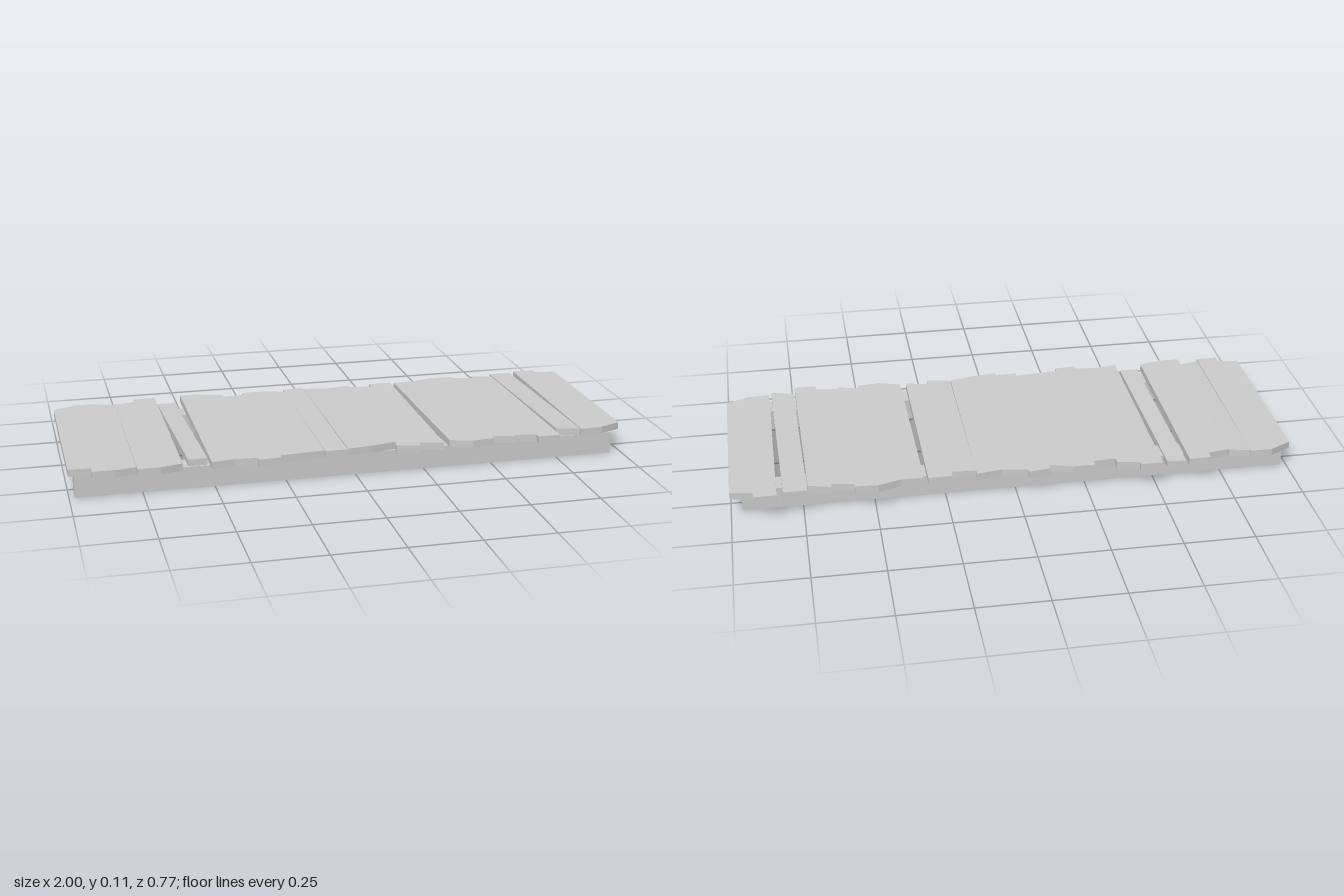
import * as THREE from 'three';

const THICK = 0.026;

// One broken board end: depths at equal spacing from left to right,
// where a pair of depths makes a square step.
function raggedEnd(left, right, depths, side) {
  return depths.flatMap((depth, i) => {
    const x = THREE.MathUtils.lerp(left, right, i / (depths.length - 1));
    return [depth].flat().map((d) => new THREE.Vector2(x, side * d));
  });
}

// A flat board between two ragged ends. lean shifts the front corners sideways,
// frontTop and backTop tilt the board.
function plankGeometry({ left, right, back, front, lean = 0, frontTop = 0.103, backTop = 0.103 }) {
  const outline = [
    ...raggedEnd(left, right, back, 1),
    ...raggedEnd(left + lean, right + lean, front, -1).reverse(),
  ];
  const geo = new THREE.ExtrudeGeometry(new THREE.Shape(outline), { depth: THICK, bevelEnabled: false });
  geo.rotateX(-Math.PI / 2);
  const p = geo.attributes.position;
  for (let i = 0; i < p.count; i++) {
    const t = (p.getZ(i) + 0.37) / 0.74;
    p.setY(i, p.getY(i) - THICK + THREE.MathUtils.lerp(backTop, frontTop, t));
  }
  geo.computeVertexNormals();
  return geo;
}

export function createModel() {
  const model = new THREE.Group();
  model.name = 'plankWalkway';
  const wood = new THREE.MeshStandardMaterial({ color: 0xcccccc });
  wood.name = 'plainGrey';

  const add = (name, geo) => {
    const mesh = new THREE.Mesh(geo, wood);
    mesh.name = name;
    model.add(mesh);
    return mesh;
  };
  const plank = (name, spec) => add(name, plankGeometry(spec));

  // Two long bearers under the deck
  for (const [name, z] of [['frontRail', 0.294], ['backRail', -0.265]]) {
    add(name, new THREE.BoxGeometry(1.94, 0.078, 0.076)).position.set(-0.01, 0.039, z);
  }

  // Boards at the right end, up to the first two gaps
  plank('rightEndPlank', { left: -1, right: -0.845, back: [0.32, 0.36, 0.36], front: [0.33, [0.335, 0.37], 0.37] });
  plank('sunkenPlank', { left: -0.845, right: -0.77, back: [0.355, 0.34], front: [0.36, 0.345], frontTop: 0.098 });
  plank('rightWidePlank', { left: -0.77, right: -0.614, back: [0.335, [0.35, 0.38], 0.38], front: [0.38, 0.38, 0.36] });
  plank('loosePlank', {
    left: -0.607, right: -0.54, lean: 0.017, back: [0.36, 0.355], front: [0.325, 0.325], backTop: 0.085,
  });

  // Boards in the middle
  plank('rightMiddlePlank', {
    left: -0.515, right: -0.115,
    back: [0.388, [0.388, 0.375], [0.36, 0.335], [0.34, 0.365], 0.365, 0.34],
    front: [0.37, 0.36, [0.365, 0.385], [0.38, 0.36], 0.352, 0.345],
  });
  plank('narrowMiddlePlank', { left: -0.115, right: -0.035, back: [0.365, 0.375], front: [0.36, 0.36], frontTop: 0.105 });
  plank('raisedMiddlePlank', {
    left: -0.035, right: 0.145, back: [0.36, 0.345, 0.36], front: [0.365, 0.355, 0.335], frontTop: 0.11,
  });
  plank('leftMiddlePlank', {
    left: 0.145, right: 0.316, back: [0.34, [0.33, 0.36], 0.36], front: [0.35, [0.365, 0.335], 0.355], frontTop: 0.1,
  });

  // Boards at the left end, with slanted gaps between them
  plank('leftWidePlank', {
    left: 0.33, right: 0.732, lean: 0.01,
    back: [0.355, 0.355, 0.38, [0.375, 0.36], [0.345, 0.365], 0.345],
    front: [0.345, 0.37, [0.36, 0.34], [0.36, 0.345], [0.36, 0.382], 0.382],
  });
  plank('tiltedPlank', {
    left: 0.735, right: 0.818, lean: 0.014, back: [0.375, 0.375], front: [0.33, 0.345], frontTop: 0.108,
  });
  plank('leftEndPlank', { left: 0.84, right: 1, back: [0.39, [0.39, 0.36], 0.35], front: [0.34, 0.335, 0.3] });
  return model;
}
